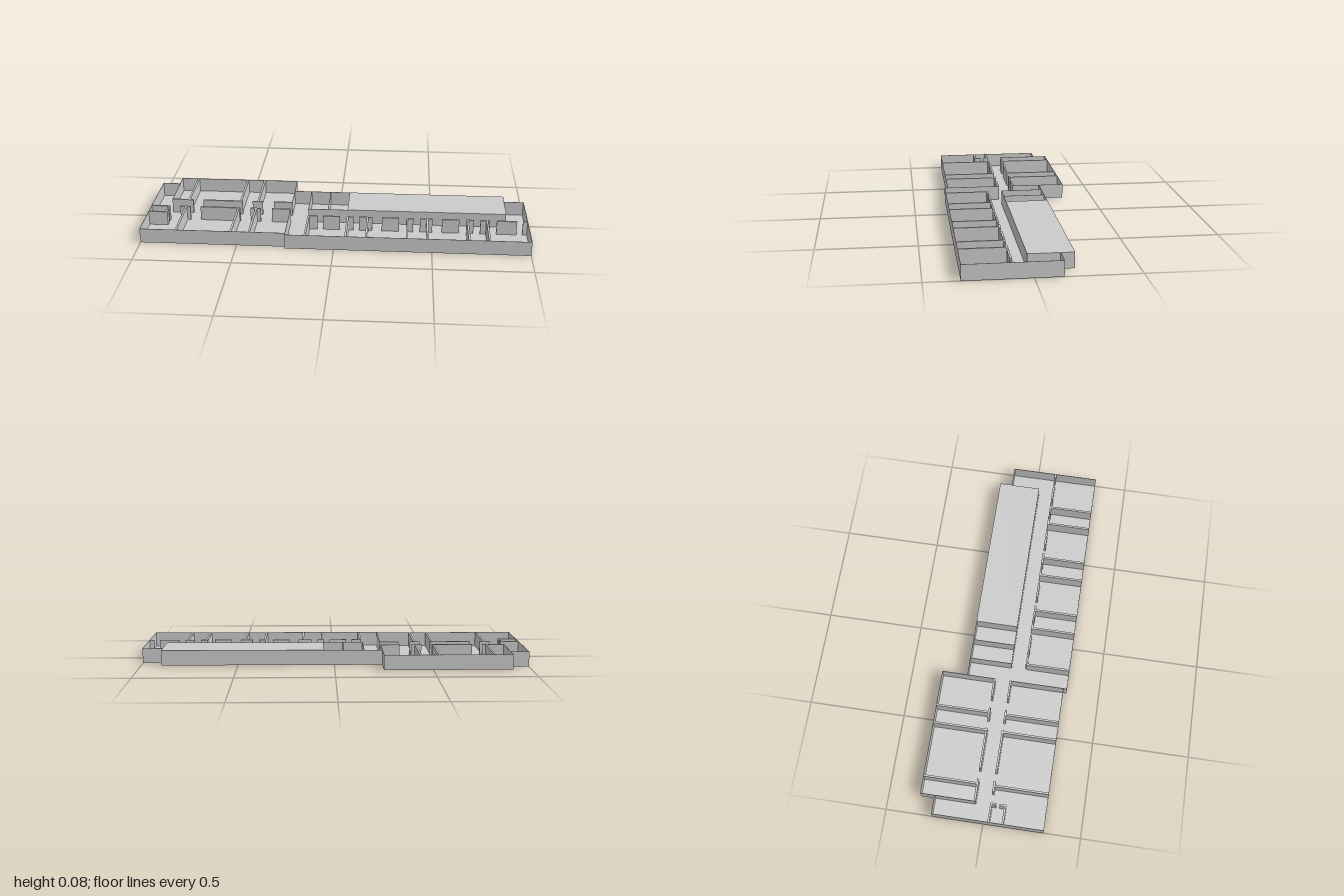
import * as THREE from 'three';

const H = 0.078, FLOOR = 0.002, THIN = 0.002, THICK = 0.01;

export function createModel() {
  const model = new THREE.Group();
  const mat = new THREE.MeshStandardMaterial({ color: 0xcccccc, flatShading: true, side: THREE.DoubleSide });

  // Box spanning two plan corners, from the ground to wall height
  function block(parent, name, x0, z0, x1, z1, h = H) {
    const mesh = new THREE.Mesh(new THREE.BoxGeometry(x1 - x0, h, z1 - z0), mat);
    mesh.position.set((x0 + x1) / 2, h / 2, (z0 + z1) / 2);
    mesh.name = name;
    parent.add(mesh);
  }
  // Walls along one axis, centred on their line
  const wallX = (g, name, z, a, b, t) => block(g, name, a, z - t / 2, b, z + t / 2);
  const wallZ = (g, name, x, a, b, t) => block(g, name, x - t / 2, a, x + t / 2, b);
  const group = (name) => {
    const g = new THREE.Group();
    g.name = name;
    model.add(g);
    return g;
  };

  // Building footprint, corners as [x, z]
  const outline = [
    [-1, -0.26], [-0.905, -0.26], [-0.905, -0.333], [-0.25, -0.333], [-0.25, -0.2], [0.895, -0.2],
    [0.895, -0.135], [1, -0.135], [1, 0.328], [-0.25, 0.328], [-0.25, 0.31], [-1, 0.31],
  ];

  // Floor slab
  const shape = new THREE.Shape(outline.map(([x, z]) => new THREE.Vector2(x, -z)));
  const slab = new THREE.ExtrudeGeometry(shape, { depth: FLOOR, bevelEnabled: false });
  slab.rotateX(-Math.PI / 2);
  const floor = new THREE.Mesh(slab, mat);
  floor.name = 'floor';
  model.add(floor);

  // Thin outer walls following the footprint
  const outer = group('outerWalls');
  outline.forEach(([x0, z0], i) => {
    const [x1, z1] = outline[(i + 1) % outline.length];
    if (z0 === z1) wallX(outer, 'outerWall', z0, Math.min(x0, x1), Math.max(x0, x1), THIN);
    else wallZ(outer, 'outerWall', x0, Math.min(z0, z1), Math.max(z0, z1), THIN);
  });

  // Wing with rooms on both sides of a corridor
  const wing = group('wingWalls');
  for (const x of [-0.813, -0.53, -0.435]) {
    wallZ(wing, 'partition', x, -0.333, -0.055, THICK);
    wallZ(wing, 'partition', x, 0.03, 0.31, THICK);
  }
  wallZ(wing, 'rearRoomEnd', -0.905, -0.26, -0.055, THIN);
  wallZ(wing, 'rearRoomEnd', -0.25, -0.2, -0.055, THIN);
  wallZ(wing, 'frontRoomEnd', -0.25, 0.03, 0.31, THIN);
  // Corridor walls broken by doorways
  const shared = [[-0.735, -0.52], [-0.465, -0.41], [-0.35, -0.25]];
  for (const [a, b] of [[-0.905, -0.79], ...shared]) wallX(wing, 'corridorWall', -0.055, a, b, THICK);
  for (const [a, b] of [[-1, -0.9], [-0.845, -0.79], ...shared]) wallX(wing, 'corridorWall', 0.03, a, b, THICK);
  // Small corner closet
  wallX(wing, 'closetWall', 0.102, -1, -0.9, THICK);
  wallZ(wing, 'closetWall', -0.905, 0.03, 0.055, THICK);
  wallZ(wing, 'closetWall', -0.905, 0.072, 0.102, THICK);

  // Front row of rooms in the long part
  const row = group('frontRoomWalls');
  for (const x of [-0.147, 0.06, 0.165, 0.373, 0.478, 0.688, 0.79]) wallZ(row, 'partition', x, 0.1, 0.328, THICK);
  const segments = [
    [-0.147, -0.1], [-0.07, 0.02], [0.055, 0.09], [0.12, 0.19], [0.24, 0.33], [0.368, 0.405],
    [0.44, 0.505], [0.555, 0.645], [0.683, 0.72], [0.755, 0.805], [0.84, 0.945], [0.975, 1],
  ];
  for (const [a, b] of segments) wallX(row, 'corridorWall', 0.1, a, b, THICK);

  // Open rear rooms beside the closed block
  const rear = group('rearRoomWalls');
  for (const x of [-0.155, -0.05]) wallZ(rear, 'partition', x, -0.2, 0.02, THIN);
  wallX(rear, 'corridorWall', 0.02, -0.155, 0.055, THIN);

  // Closed block
  block(model, 'closedBlock', 0.055, -0.2, 0.895, 0.02);
  return model;
}
